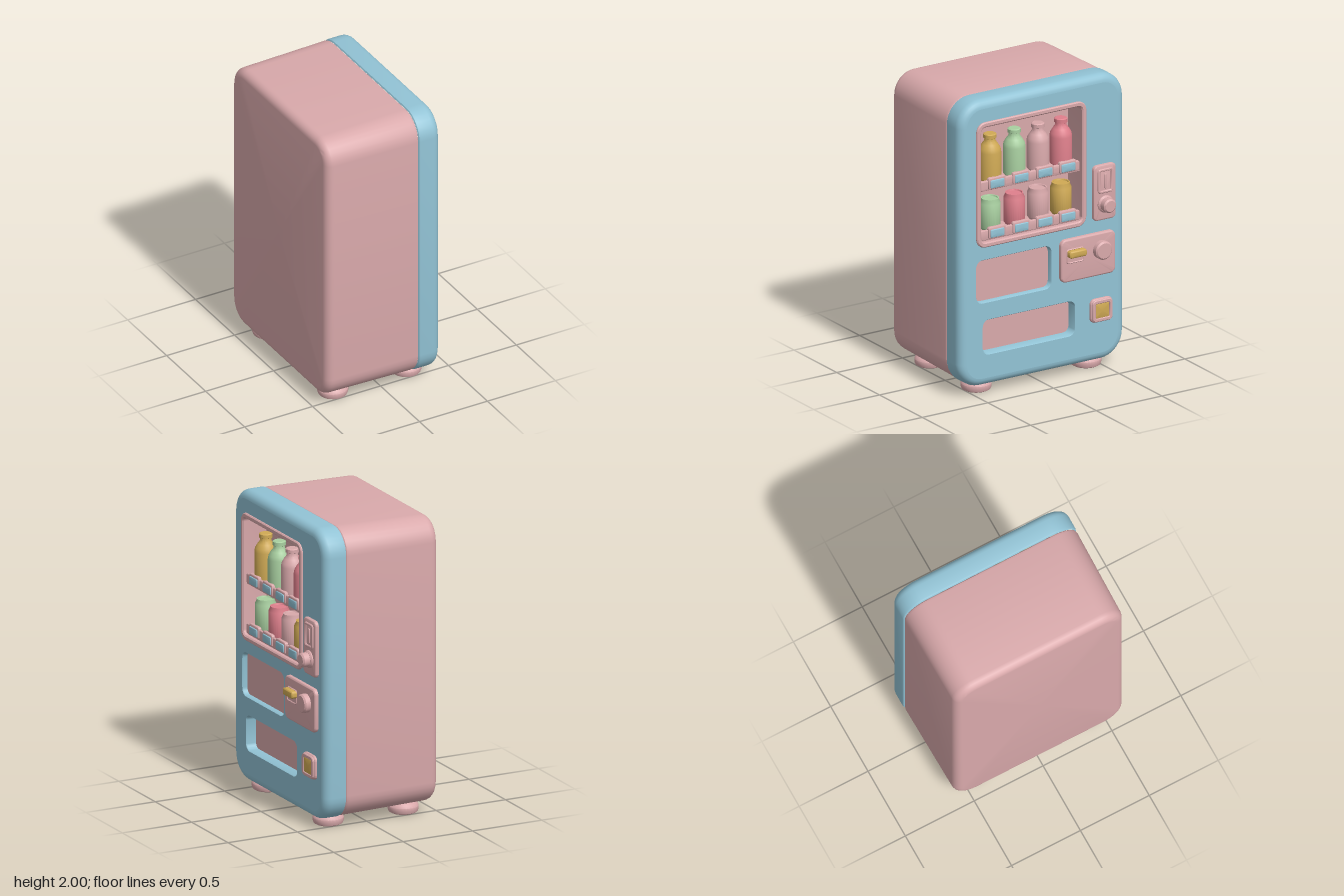
import * as THREE from 'three';
import { toCreasedNormals } from 'three/addons/utils/BufferGeometryUtils.js';

const mat = (name, color) => {
  const m = new THREE.MeshStandardMaterial({ color });
  m.name = name;
  return m;
};

// Outline of a rounded rectangle [x0, x1, y0, y1, radius], counter-clockwise
function outline([x0, x1, y0, y1, r], inset = 0) {
  const R = Math.max(r - inset, 0.006), seg = 8, pts = [];
  const xs = [x1 - inset - R, x0 + inset + R], ys = [y1 - inset - R, y0 + inset + R];
  [[0, 0], [1, 0], [1, 1], [0, 1]].forEach(([i, j], corner) => {
    for (let k = 0; k <= seg; k++) {
      const a = (corner + k / seg) * Math.PI / 2;
      pts.push(new THREE.Vector2(xs[i] + R * Math.cos(a), ys[j] + R * Math.sin(a)));
    }
  });
  return pts;
}

// Skin through rounded rectangles; profile is a list of [inset, z]
function loft(rect, profile, { start = false, end = true } = {}) {
  const pos = [], idx = [];
  const rings = profile.map(([inset, z]) => outline(rect, inset).map(p => [p.x, p.y, z]));
  const n = rings[0].length;
  rings.forEach(r => r.forEach(p => pos.push(...p)));
  for (let i = 0; i < rings.length - 1; i++) {
    for (let j = 0; j < n; j++) {
      const a = i * n + j, b = i * n + (j + 1) % n;
      idx.push(a, b, b + n, a, b + n, a + n);
    }
  }
  const cap = (i, flip) => {
    const c = pos.length / 3;
    pos.push((rect[0] + rect[1]) / 2, (rect[2] + rect[3]) / 2, profile[i][1]);
    for (let j = 0; j < n; j++) {
      const a = i * n + j, b = i * n + (j + 1) % n;
      if (flip) idx.push(c, b, a); else idx.push(c, a, b);
    }
  };
  if (start) cap(0, true);
  if (end) cap(rings.length - 1, false);
  const g = new THREE.BufferGeometry();
  g.setAttribute('position', new THREE.Float32BufferAttribute(pos, 3));
  g.setIndex(idx);
  return toCreasedNormals(g, 0.6);
}

// Quarter-round edge from the side wall to the face at z
const rounded = (r, z, base = 0) => [0, 1, 2, 3, 4, 5, 6].map(k => {
  const a = k / 6 * Math.PI / 2;
  return [base + r * (1 - Math.cos(a)), z - r * (1 - Math.sin(a))];
});

export function createModel() {
  const pink = mat('pink', 0xd9a9ab), blue = mat('blue', 0x92c3d5);
  const yellow = mat('yellow', 0xd0aa55), green = mat('green', 0xa8cfa0), red = mat('rose', 0xdf808c);
  const root = new THREE.Group(), machine = new THREE.Group();
  root.name = 'vendingMachine';
  machine.name = 'machine';
  root.add(machine);
  // Built with the door facing +z, then turned to +x
  machine.rotation.y = Math.PI / 2;
  const add = (name, geo, m, x = 0, y = 0, z = 0) => {
    const mesh = new THREE.Mesh(geo, m);
    mesh.name = name;
    mesh.position.set(x, y, z);
    machine.add(mesh);
    return mesh;
  };
  const box = (name, m, x0, x1, y0, y1, z0, z1) =>
    add(name, new THREE.BoxGeometry(x1 - x0, y1 - y0, z1 - z0), m, (x0 + x1) / 2, (y0 + y1) / 2, (z0 + z1) / 2);
  const panel = (name, m, rect, z0, z1, r = 0.012) =>
    add(name, loft(rect, [[0, z0], ...rounded(r, z1)], { start: true }), m);
  const rim = (name, m, rect, z0, z1, w) =>
    add(name, loft(rect, [[0, z0], [0, z1 - 0.005], [0.005, z1], [w - 0.005, z1], [w, z1 - 0.005], [w, z0]], { end: false }), m);
  const lathe = (name, pts, m, x, y, z) =>
    add(name, toCreasedNormals(new THREE.LatheGeometry(pts.map(p => new THREE.Vector2(...p)), 28), 0.6), m, x, y, z);

  // Cabinet, tapering slightly to a rounded back
  const shell = [-0.63, 0.63, 0.06, 2, 0.17];
  const back = rounded(0.055, 0.46, 0.016).map(([i, z]) => [i, -z]).reverse();
  add('cabinet', loft(shell, [...back, [0.004, 0.19], [0.008, 0.205], [0.014, 0.21]], { start: true }), pink);

  // Door shell, face with openings, and recess walls
  const front = 0.37, edge = 0.055;
  add('doorSide', loft(shell, [[0.012, 0.21], [0.003, 0.215], [0, 0.225], ...rounded(edge, front)], { end: false }), blue);
  const windowRect = [-0.505, 0.33, 1.005, 1.855, 0.065];
  const slots = [
    ['upperSlot', [-0.505, 0.07, 0.625, 0.92, 0.05], 0.335],
    ['lowerSlot', [-0.455, 0.25, 0.27, 0.51, 0.05], 0.30],
  ];
  const face = new THREE.Shape(outline(shell, edge));
  face.holes.push(new THREE.Path(outline(windowRect, 0.01)));
  slots.forEach(([, r]) => face.holes.push(new THREE.Path(outline(r))));
  add('doorFace', new THREE.ShapeGeometry(face), blue, 0, 0, front);
  slots.forEach(([name, r, depth]) => {
    add(name + 'Walls', loft(r, [[0, front], [0.005, front - 0.008], [0.008, depth]], { end: false }), blue);
    add(name + 'Panel', loft(r, [[0.002, depth - 0.004], [0.002, depth + 0.002]]), pink);
  });

  // Window frame and display niche
  add('displayNiche', loft(windowRect, [[0, 0.365], [0, 0.377], [0.007, 0.384], [0.026, 0.384],
    [0.034, 0.376], [0.036, 0.215]]), pink);

  // Shelves with tags, bottles above and cans below
  const columns = [-0.345, -0.16, 0.02, 0.195];
  const bottle = [[0, 0], [0.064, 0], [0.073, 0.01], [0.073, 0.19], [0.068, 0.215], [0.052, 0.242], [0.037, 0.262],
    [0.035, 0.28], [0.043, 0.284], [0.043, 0.307], [0.036, 0.312], [0, 0.312]];
  const can = [[0, 0], [0.058, 0], [0.069, 0.016], [0.069, 0.178], [0.058, 0.2], [0.058, 0.21], [0.05, 0.21],
    [0.047, 0.202], [0, 0.202]];
  const rows = [
    ['bottle', bottle, 1.425, [yellow, green, pink, red]],
    ['can', can, 1.09, [green, red, pink, yellow]],
  ];
  rows.forEach(([name, profile, y, colours]) => {
    box(name + 'Shelf', pink, -0.468, 0.293, y - 0.05, y, 0.215, 0.355);
    panel(name + 'ShelfRail', pink, [-0.465, 0.29, y - 0.045, y + 0.022, 0.012], 0.345, 0.362, 0.006);
    columns.forEach((x, i) => {
      lathe(name, profile, colours[i], x, y, 0.285);
      panel(name + 'TagHolder', pink, [x - 0.064, x + 0.064, y - 0.038, y + 0.04, 0.012], 0.35, 0.372, 0.006);
      panel(name + 'Tag', blue, [x - 0.052, x + 0.052, y - 0.03, y + 0.024, 0.008], 0.37, 0.379, 0.005);
    });
  });

  // Round knobs pointing out of the door
  const knob = (name, x, y, z0, z1, r) => {
    const h = z1 - z0;
    lathe(name, [[r, 0], [r, h - 0.01], [r - 0.01, h], [0, h]], pink, x, y, z0).rotation.x = Math.PI / 2;
  };

  // Coin plate with slot and knob
  panel('coinPlate', pink, [0.377, 0.547, 1.02, 1.395, 0.03], 0.36, 0.395);
  rim('coinSlotFrame', pink, [0.405, 0.52, 1.205, 1.37, 0.018], 0.39, 0.404, 0.018);
  panel('coinSlot', pink, [0.453, 0.472, 1.235, 1.335, 0.008], 0.39, 0.402, 0.004);
  knob('coinKnobBase', 0.462, 1.13, 0.39, 0.412, 0.058);
  knob('coinKnob', 0.462, 1.13, 0.39, 0.46, 0.047);

  // Control plate with handle and dial
  panel('controlPlate', pink, [0.127, 0.542, 0.65, 0.94, 0.04], 0.36, 0.397);
  rim('handleRecess', pink, [0.165, 0.3, 0.775, 0.875, 0.018], 0.39, 0.402, 0.01);
  panel('handle', yellow, [0.17, 0.3, 0.82, 0.868, 0.016], 0.39, 0.436, 0.01);
  knob('dial', 0.43, 0.828, 0.39, 0.44, 0.062);

  // Square button
  panel('buttonPlate', pink, [0.358, 0.525, 0.33, 0.49, 0.035], 0.36, 0.39);
  rim('buttonFrame', pink, [0.364, 0.519, 0.336, 0.484, 0.03], 0.385, 0.4, 0.026);
  panel('button', yellow, [0.39, 0.493, 0.36, 0.46, 0.012], 0.385, 0.396, 0.004);

  // Feet
  const foot = [[0, 0], [0.08, 0], [0.094, 0.008], [0.1, 0.025], [0.1, 0.045], [0.09, 0.06], [0.07, 0.075]];
  for (const x of [-0.418, 0.418]) for (const z of [-0.305, 0.235]) lathe('foot', foot, pink, x, 0, z);

  return root;
}
